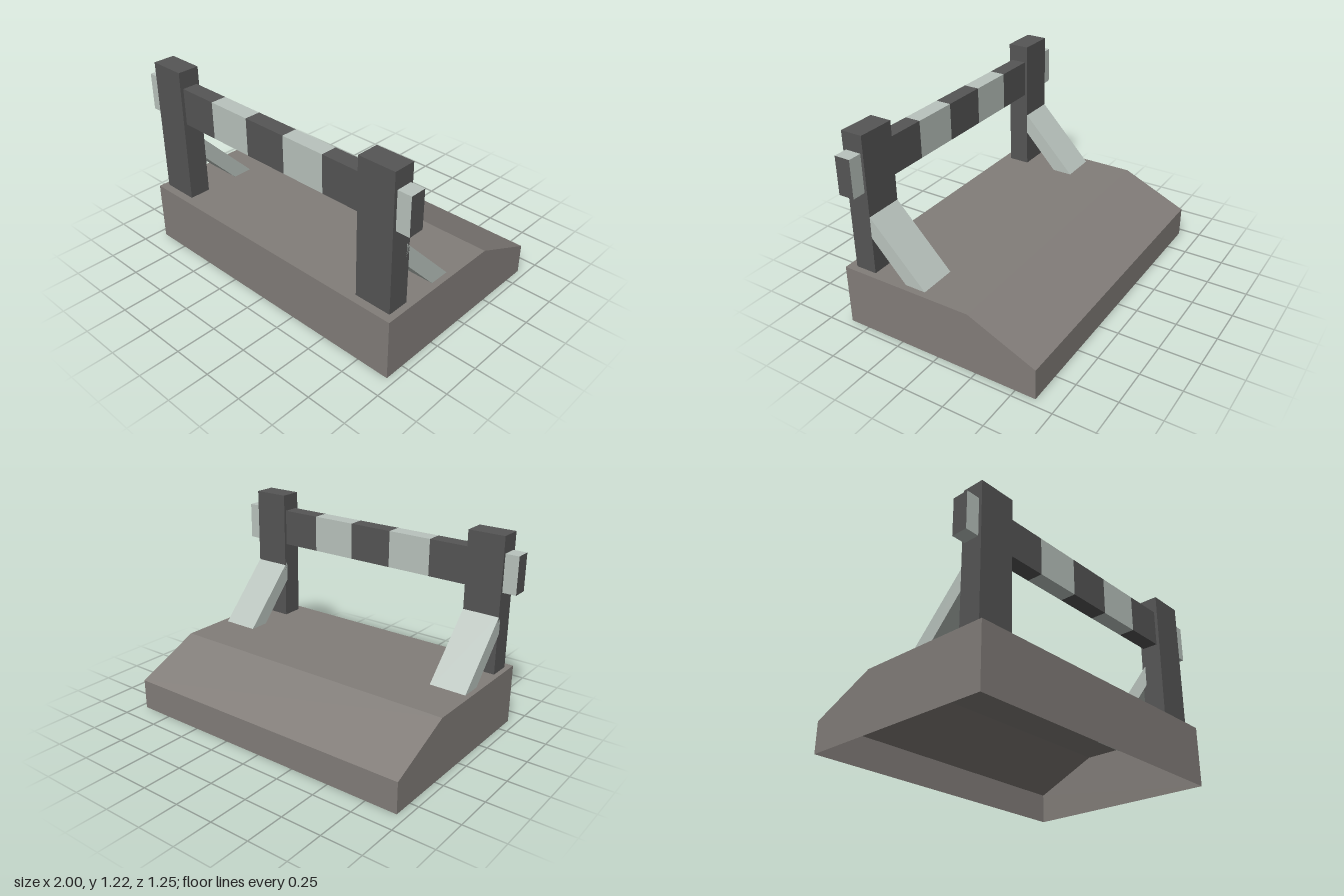
import * as THREE from 'three';

const material = (name, color) => {
  const m = new THREE.MeshStandardMaterial({ color, side: THREE.DoubleSide });
  m.name = name;
  return m;
};

// Open-bottomed shell: a convex [z, y] profile, from front foot over to back foot, spanning x0 to x1
function shell(x0, x1, profile) {
  const pos = [];
  const tri = (...corners) => corners.forEach(([x, [z, y]]) => pos.push(x, y, z));
  for (let i = 0; i < profile.length - 1; i++) {
    const a = profile[i], b = profile[i + 1];
    tri([x0, a], [x1, a], [x1, b]);
    tri([x0, a], [x1, b], [x0, b]);
    if (i > 0) {
      tri([x1, profile[0]], [x1, b], [x1, a]);
      tri([x0, profile[0]], [x0, a], [x0, b]);
    }
  }
  const geometry = new THREE.BufferGeometry();
  geometry.setAttribute('position', new THREE.Float32BufferAttribute(pos, 3));
  geometry.computeVertexNormals();
  return geometry;
}

export function createModel() {
  const group = new THREE.Group();
  const concrete = material('concrete', 0x827d79);
  const dark = material('dark grey', 0x555555);
  const pale = material('pale grey', 0xb9c3bd);

  const add = (name, geometry, mat) => {
    const mesh = new THREE.Mesh(geometry, mat);
    mesh.name = name;
    group.add(mesh);
    return mesh;
  };

  // Hollow base with a sloping back
  add('base', shell(-0.947, 0.955, [
    [0.625, 0], [0.625, 0.375], [-0.21, 0.375], [-0.625, 0.19], [-0.625, 0],
  ]), concrete);

  // Posts and slanted braces, sunk a little through the base top
  for (const [side, x] of [['left', 0.8], ['right', -0.8]]) {
    const x0 = x - 0.115, x1 = x + 0.115;
    add(side + 'Post', shell(x0, x1, [
      [0.575, 0.345], [0.575, 1.215], [0.44, 1.215], [0.44, 0.345],
    ]), dark);
    add(side + 'Brace', shell(x0, x1, [
      [0.197, 0.345], [0.46, 0.626], [0.46, 0.756], [0.067, 0.345],
    ]), pale);
  }

  // Striped crossbeam: seven equal bands, pale at both ends, with dark end faces
  const band = 2 / 7;
  for (let i = 0; i < 7; i++) {
    const mat = i % 2 ? dark : pale;
    const mats = [i === 6 ? dark : mat, i === 0 ? dark : mat, mat, mat, mat, mat];
    const mesh = add('beamBand' + (i + 1), new THREE.BoxGeometry(band, 0.23, 0.098), mats);
    mesh.position.set((i - 3) * band, 0.995, 0.506);
  }
  return group;
}
